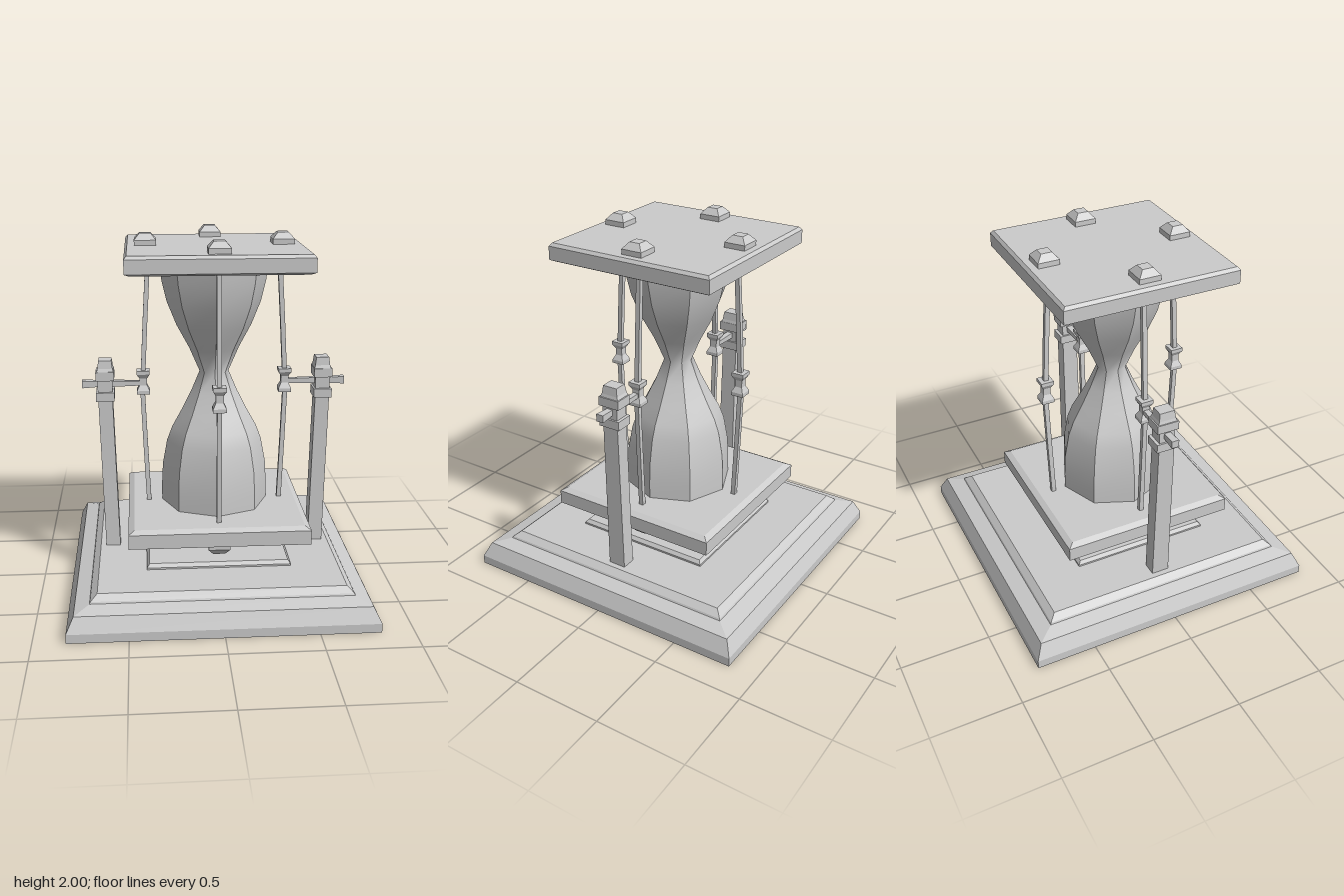
import * as THREE from 'three';
import { mergeVertices } from 'three/addons/utils/BufferGeometryUtils.js';

const material = new THREE.MeshStandardMaterial({ color: 0xcccccc });

// Capped loft through square sections [y, halfX, halfZ = halfX, centreX = 0]
function squareLoft(sections) {
  const corners = [[1, 1], [1, -1], [-1, -1], [-1, 1]];
  const rings = sections.map(([y, hx, hz = hx, cx = 0]) =>
    corners.map(([sx, sz]) => [cx + sx * hx, y, sz * hz]));
  const pos = [];
  const quad = (a, b, c, d) => pos.push(...a, ...b, ...c, ...a, ...c, ...d);
  for (let r = 0; r < rings.length - 1; r++) {
    for (let i = 0; i < 4; i++) {
      const j = (i + 1) % 4;
      quad(rings[r][i], rings[r][j], rings[r + 1][j], rings[r + 1][i]);
    }
  }
  const lo = rings[0], hi = rings[rings.length - 1];
  quad(lo[3], lo[2], lo[1], lo[0]);
  quad(hi[0], hi[1], hi[2], hi[3]);
  const g = new THREE.BufferGeometry();
  g.setAttribute('position', new THREE.Float32BufferAttribute(pos, 3));
  g.computeVertexNormals();
  return g;
}

// One flat side of a many-sided lathe, smooth along its height
function sideStrip(profile, a0, a1) {
  const pos = [];
  const at = ([r, y], a) => [r * Math.cos(a), y, -r * Math.sin(a)];
  for (let k = 0; k < profile.length - 1; k++) {
    const a = at(profile[k], a0), b = at(profile[k], a1);
    const c = at(profile[k + 1], a1), d = at(profile[k + 1], a0);
    pos.push(...a, ...b, ...c, ...a, ...c, ...d);
  }
  let g = new THREE.BufferGeometry();
  g.setAttribute('position', new THREE.Float32BufferAttribute(pos, 3));
  g = mergeVertices(g);
  g.computeVertexNormals();
  return g;
}

function add(parent, name, geometry, x = 0, y = 0, z = 0) {
  const mesh = new THREE.Mesh(geometry, material);
  mesh.name = name;
  mesh.position.set(x, y, z);
  parent.add(mesh);
  return mesh;
}

function group(parent, name) {
  const g = new THREE.Group();
  g.name = name;
  parent.add(g);
  return g;
}

export function createModel() {
  const model = new THREE.Group();
  model.name = 'hourglass';

  // Stepped base
  add(model, 'base', squareLoft([
    [0, 0.825, 0.838], [0.05, 0.825, 0.838], [0.132, 0.785, 0.8],
    [0.155, 0.705, 0.71], [0.165, 0.7, 0.705], [0.195, 0.665, 0.67],
  ]));
  add(model, 'baseStep', squareLoft([[0.19, 0.4], [0.205, 0.4], [0.225, 0.385]]));

  // Square plates holding the glass
  add(model, 'topPlate', squareLoft([
    [1.815, 0.3], [1.832, 0.46], [1.845, 0.488], [1.92, 0.488], [1.937, 0.474],
  ]));
  add(model, 'bottomPlate', squareLoft([
    [0.34, 0.3], [0.352, 0.46], [0.362, 0.497], [0.442, 0.497], [0.46, 0.465],
  ]));

  // Eight-sided glass
  const profile = [
    [0.303, 0.45], [0.303, 0.55], [0.296, 0.68], [0.27, 0.82], [0.24, 0.9],
    [0.185, 1.0], [0.13, 1.11], [0.082, 1.225], [0.14, 1.36], [0.21, 1.49],
    [0.262, 1.62], [0.29, 1.74], [0.302, 1.83],
  ];
  const glass = group(model, 'glass');
  for (let i = 0; i < 8; i++) {
    add(glass, 'glassSide', sideStrip(profile, i * Math.PI / 4, (i + 1) * Math.PI / 4));
  }

  // Four bowed rods with spools and end knobs
  const rodGeo = squareLoft([
    [0.44, 0.013, 0.013, 0.378], [0.8, 0.013, 0.013, 0.393], [1.12, 0.013, 0.013, 0.405],
    [1.22, 0.013, 0.013, 0.4], [1.5, 0.013, 0.013, 0.385], [1.83, 0.013, 0.013, 0.365],
  ]);
  const spoolGeo = squareLoft([
    [1.1, 0.036], [1.12, 0.036], [1.15, 0.021], [1.19, 0.021], [1.215, 0.036], [1.235, 0.036],
  ]);
  const topKnobGeo = squareLoft([[1.92, 0.06], [1.965, 0.06], [2.0, 0.03]]);
  const bottomKnobGeo = squareLoft([[0.278, 0.033], [0.312, 0.06], [0.36, 0.06]]);
  for (let i = 0; i < 4; i++) {
    const rod = group(model, 'rodAssembly');
    rod.rotation.y = i * Math.PI / 2;
    add(rod, 'rod', rodGeo);
    add(rod, 'spool', spoolGeo, 0.4);
    add(rod, 'topKnob', topKnobGeo, 0.376);
    add(rod, 'bottomKnob', bottomKnobGeo, 0.366);
  }

  // Posts with collars, and the axles the frame swings on
  const postGeo = squareLoft([[0.18, 0.041, 0.05, 0.592], [1.09, 0.04, 0.045, 0.614]]);
  const neckGeo = squareLoft([[1.08, 0.041, 0.045], [1.22, 0.041, 0.045]]);
  const collarGeo = squareLoft([[-0.025, 0.051, 0.062], [0.025, 0.051, 0.062]]);
  const capGeo = squareLoft([[1.23, 0.049, 0.058], [1.255, 0.042, 0.048], [1.3, 0.036, 0.042]]);
  const axleGeo = squareLoft([
    [0.4, 0.012, 0.014], [0.56, 0.016, 0.018], [0.66, 0.016, 0.018], [0.742, 0.021],
  ]);
  for (const [name, turn] of [['leftSupport', 0], ['rightSupport', Math.PI]]) {
    const support = group(model, name);
    support.rotation.y = turn;
    add(support, 'post', postGeo);
    add(support, 'neck', neckGeo, 0.614);
    add(support, 'lowerCollar', collarGeo, 0.614, 1.095);
    add(support, 'upperCollar', collarGeo, 0.614, 1.213);
    add(support, 'cap', capGeo, 0.612);
    add(support, 'axle', axleGeo, 0, 1.16).rotation.z = -Math.PI / 2;
  }

  return model;
}
